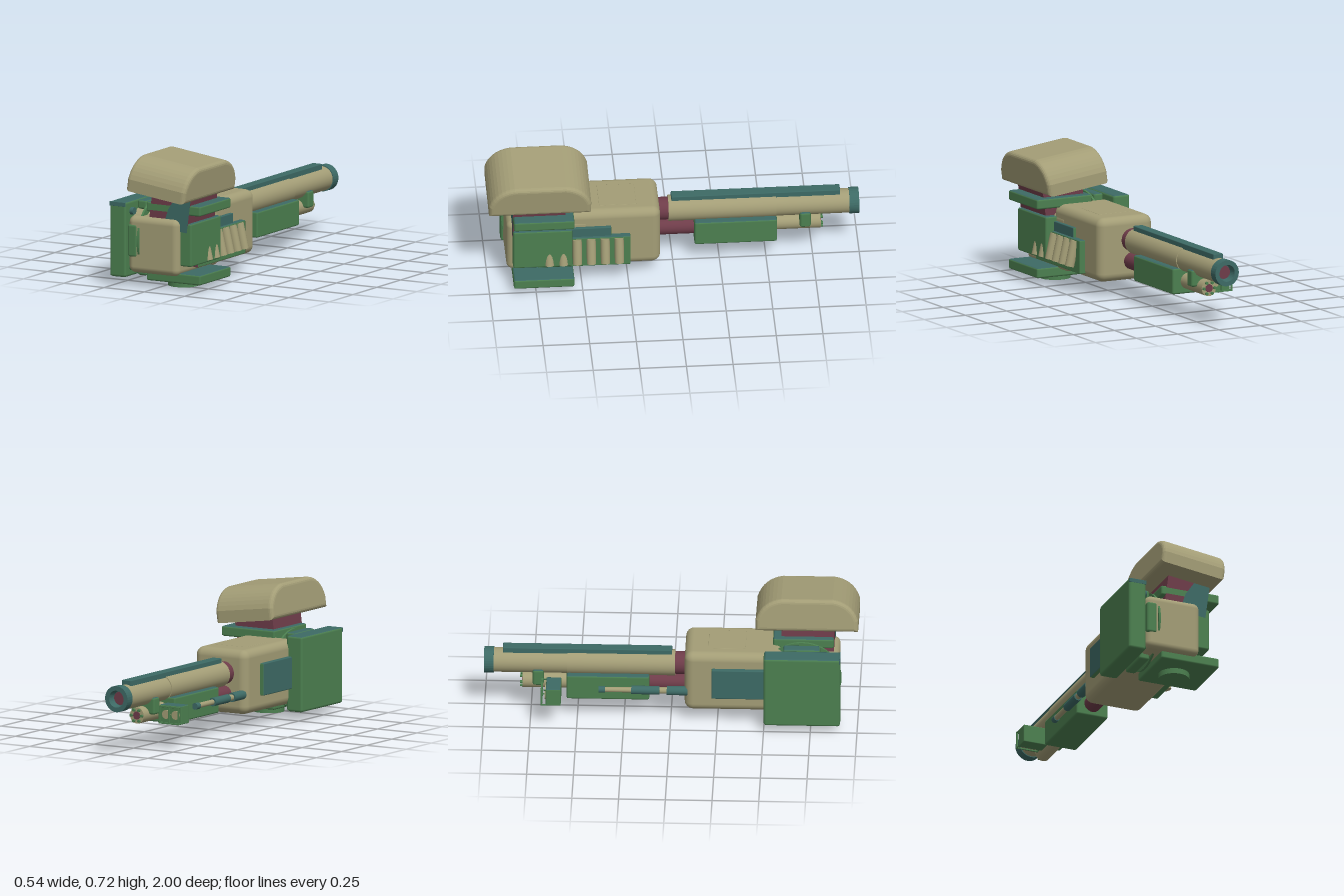
import * as THREE from 'three';
import { RoundedBoxGeometry } from 'three/addons/geometries/RoundedBoxGeometry.js';

const mat = (name, color) => {
  const m = new THREE.MeshStandardMaterial({ color });
  m.name = name;
  return m;
};

export function createModel() {
  const tan = mat('tan', 0xa39d76);
  const green = mat('green', 0x4c8050);
  const teal = mat('teal', 0x3d6a65);
  const maroon = mat('maroon', 0x6e3c49);
  // face order: +x, -x, top, bottom, front, back
  const capped = [green, green, teal, green, green, green];

  const group = new THREE.Group();
  const add = (name, geo, material, x = 0, y = 0, z = 0, parent = group) => {
    const m = new THREE.Mesh(geo, material);
    m.name = name;
    m.position.set(x, y, z);
    parent.add(m);
    return m;
  };
  // box from its limits, with softened edges
  const box = (name, material, [x0, x1], [y0, y1], [z0, z1], r = 0.01, seg = 1) =>
    add(name, new RoundedBoxGeometry(x1 - x0, y1 - y0, z1 - z0, seg, r), material,
      (x0 + x1) / 2, (y0 + y1) / 2, (z0 + z1) / 2);
  // cylinder along z
  const rodZ = (name, material, x, y, z0, z1, r, sides = 24) =>
    add(name, new THREE.CylinderGeometry(r, r, Math.abs(z1 - z0), sides).rotateX(Math.PI / 2),
      material, x, y, (z0 + z1) / 2);
  // cylinder along x
  const rodX = (name, material, x0, x1, y, z, r, sides = 32) =>
    add(name, new THREE.CylinderGeometry(r, r, x1 - x0, sides).rotateZ(Math.PI / 2),
      material, (x0 + x1) / 2, y, z);

  // main body
  box('rearBody', tan, [-0.185, 0.145], [0.08, 0.428], [0.075, 0.6], 0.045, 4);
  box('frontBody', tan, [-0.165, 0.147], [0.075, 0.383], [0.45, 0.9], 0.035, 4);
  box('topHatch', tan, [-0.11, 0.08], [0.42, 0.4295], [0.2, 0.4], 0.002);

  // shoulder joint on the right side: painted drum, ring and four blocks
  const cy = 0.25, cz = 0.7;
  const drum = (name, material, start, length) => {
    const g = new THREE.CylinderGeometry(0.176, 0.176, 0.18, 40, 1, false, start, length).rotateZ(Math.PI / 2);
    add(name, g, material, -0.08, cy, cz);
  };
  // angle 0 points to the front, a quarter turn points down
  drum('drumLower', tan, -0.65, Math.PI + 1.3);
  drum('drumUpper', maroon, Math.PI + 0.65, Math.PI - 1.3);
  rodX('jointRing', green, -0.1, -0.088, cy, cz, 0.213, 48);
  const blocks = [[0.18, 0, teal], [0, 0.18, green], [-0.18, 0, green], [0, -0.18, green]];
  for (const [dy, dz, material] of blocks) {
    const hy = dy ? 0.025 : 0.088, hz = dz ? 0.025 : 0.1;
    box('jointBlock', material === teal ? capped : material, [-0.163, -0.105],
      [cy + dy - hy, cy + dy + hy], [cz + dz - hz, cz + dz + hz], 0.012);
  }

  // flat plate outside the joint, with four bolts
  box('jointPlate', capped, [-0.271, -0.17], [0.046, 0.456], [0.5, 0.91], 0.014);
  box('plateTopBand', teal, [-0.27, -0.171], [0.43, 0.454], [0.905, 0.9105], 0.002);
  for (const y of [0.1, 0.402]) for (const z of [0.56, 0.85])
    rodX('plateBolt', y > 0.25 ? teal : green, -0.175, -0.15, y, z, 0.02, 16);

  // upper, lower and side armour plates
  box('upperPlate', capped, [-0.066, 0.27], [0.411, 0.466], [0.545, 0.87], 0.01);
  box('lowerPlate', capped, [-0.066, 0.27], [0.037, 0.092], [0.545, 0.87], 0.01);
  box('sidePlate', capped, [0.14, 0.214], [0.132, 0.366], [0.553, 0.87], 0.01);
  add('footDisc', new THREE.CylinderGeometry(0.083, 0.083, 0.03, 32), green, 0.073, 0.015, 0.71);
  add('footStem', new THREE.CylinderGeometry(0.05, 0.05, 0.03, 24), green, 0.073, 0.035, 0.71);

  // tilted head cover on its neck
  const head = new THREE.Group();
  head.name = 'head';
  head.position.set(0.075, 0.607, 0.727);
  head.rotation.z = -0.132;
  group.add(head);
  const b = 0.022;
  const profile = new THREE.Shape();
  profile.moveTo(-0.252, -0.069);
  profile.lineTo(0.252, -0.069);
  profile.lineTo(0.252, -0.03);
  profile.quadraticCurveTo(0.225, 0.055, 0.135, 0.069);
  profile.lineTo(-0.135, 0.069);
  profile.quadraticCurveTo(-0.225, 0.055, -0.252, -0.03);
  profile.closePath();
  const coverGeo = new THREE.ExtrudeGeometry(profile, {
    depth: 0.364 - 2 * b, bevelThickness: b, bevelSize: b, bevelSegments: 4, curveSegments: 8,
  }).translate(0, 0, b - 0.182).rotateY(-Math.PI / 2);
  add('headCover', coverGeo, tan, 0, 0, 0, head);
  add('neck', new THREE.BoxGeometry(0.24, 0.22, 0.28), maroon, 0.03, -0.165, 0.003, head);
  // teal paint on the front of the neck
  const paint = new THREE.Shape([[0.075, -0.06], [0.15, -0.06], [0.15, -0.275], [0, -0.275], [0.02, -0.17]]
    .map(([x, y]) => new THREE.Vector2(x, y)));
  add('neckPaint', new THREE.ShapeGeometry(paint), teal, 0, 0, 0.145, head);

  // shell rack on the left side
  box('shellRack', [green, green, teal, green, maroon, green], [0.13, 0.178], [0.106, 0.287], [0.238, 0.735], 0.005);
  box('rackUpper', [teal, green, teal, green, green, green], [0.13, 0.162], [0.27, 0.34], [0.34, 0.56], 0.005);
  for (let i = 0; i < 6; i++) {
    const shell = add('shell', new THREE.CylinderGeometry(0.025, 0.025, 0.142, 20), tan,
      0.19, 0.21, 0.3 + i * 0.075);
    shell.rotation.z = 0.23;
  }

  // panel on the right side of the body
  box('bodyPanel', [teal, teal, teal, green, maroon, green], [-0.207, -0.17], [0.17, 0.345], [0.22, 0.53], 0.006);

  // main barrel
  const bx = -0.05, by = 0.303;
  rodZ('barrelRoot', maroon, bx, by, 0.1, 0, 0.061);
  rodZ('barrelSleeve', tan, bx, by, 0.022, -0.555, 0.07, 32);
  rodZ('barrelTube', tan, bx, by, -0.55, -0.955, 0.066, 32);
  const muzzle = new THREE.LatheGeometry([[0.04, 0], [0.071, 0], [0.071, 0.052], [0.046, 0.052], [0.04, 0.008], [0, 0.008]]
    .map(([r, y]) => new THREE.Vector2(r, y)), 32).rotateX(-Math.PI / 2).toNonIndexed();
  muzzle.computeVertexNormals();
  add('muzzle', muzzle, [teal], bx, by, -0.948).material = teal;
  rodZ('bore', maroon, bx, by, -0.95, -0.965, 0.036);
  box('topRail', teal, [-0.079, -0.021], [0.345, 0.392], [-0.9, 0.005], 0.004);

  // lower barrel with guard, clamp and tip studs
  const ly = 0.187;
  rodZ('lowerRoot', maroon, bx, ly, 0.1, -0.13, 0.046);
  rodZ('lowerTube', tan, bx, ly, -0.54, -0.795, 0.044);
  rodZ('lowerBore', maroon, bx, ly, -0.79, -0.798, 0.022, 16);
  for (let i = 0; i < 6; i++) {
    const a = i * Math.PI / 3;
    rodZ('tipStud', green, bx + 0.033 * Math.cos(a), ly + 0.033 * Math.sin(a), -0.79, -0.807, 0.008, 10);
  }
  box('guard', capped, [-0.14, 0.042], [0.118, 0.259], [-0.558, -0.115], 0.01);
  box('clamp', capped, [-0.125, 0.025], [0.188, 0.28], [-0.74, -0.68], 0.012);

  // side lamp: solid case, lenses and an open cage
  box('lampCase', [green, green, teal, green, green, green], [-0.248, -0.11], [0.135, 0.235], [-0.665, -0.585], 0.005);
  for (const x of [-0.215, -0.155]) rodZ('lampLens', tan, x, 0.185, -0.66, -0.672, 0.024, 20);
  for (const x of [-0.244, -0.185, -0.126])
    box('cageUpright', green, [x - 0.004, x + 0.004], [0.137, 0.233], [-0.692, -0.684], 0.001);
  for (const y of [0.14, 0.23]) {
    box('cageBar', green, [-0.248, -0.122], [y - 0.004, y + 0.004], [-0.692, -0.684], 0.001);
    for (const x of [-0.244, -0.126])
      box('cageStrut', green, [x - 0.003, x + 0.003], [y - 0.003, y + 0.003], [-0.69, -0.66], 0.001);
  }

  // slim side tube, stepped along its length
  const steps = [
    [0.09, -0.02, 0.025, teal], [-0.02, -0.06, 0.017, tan], [-0.06, -0.21, 0.023, teal],
    [-0.21, -0.35, 0.014, tan], [-0.35, -0.385, 0.018, teal],
  ];
  for (const [z0, z1, r, m] of steps) rodZ('sideTube', m, -0.156, 0.19, z0, z1, r, 20);

  return group;
}
